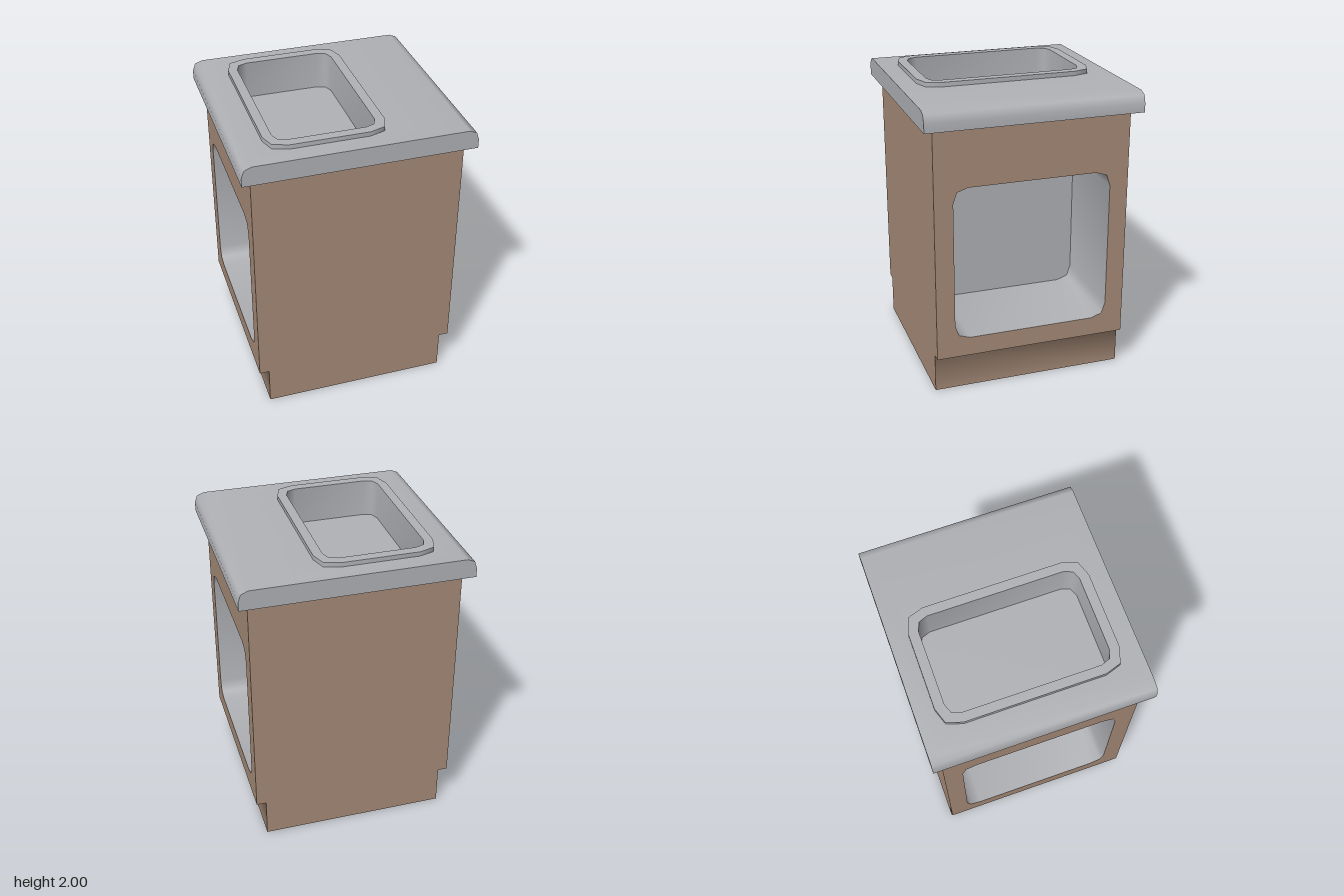
import * as THREE from 'three';
import { mergeGeometries, toCreasedNormals } from 'three/addons/utils/BufferGeometryUtils.js';

const V = (x, y) => new THREE.Vector2(x, y);

// Rectangle with two-step softened corners, counter-clockwise; r = corner reach, m = inset of the middle point
function softRect(x0, x1, y0, y1, r, m) {
  return [
    V(x0 + r, y0), V(x1 - r, y0), V(x1 - m, y0 + m), V(x1, y0 + r),
    V(x1, y1 - r), V(x1 - m, y1 - m), V(x1 - r, y1), V(x0 + r, y1),
    V(x0 + m, y1 - m), V(x0, y1 - r), V(x0, y0 + r), V(x0 + m, y0 + m),
  ];
}
const rect = (x0, x1, y0, y1) => [V(x0, y0), V(x1, y0), V(x1, y1), V(x0, y1)];

// Flat face in the xy plane at height z, facing +z
function face(points, z, hole) {
  const shape = new THREE.Shape(points);
  if (hole) shape.holes.push(new THREE.Path(hole));
  const g = new THREE.ShapeGeometry(shape).toNonIndexed();
  g.deleteAttribute('uv');
  return g.translate(0, 0, z);
}

// Strip swept along z from z0 to z1; counter-clockwise paths face outward
function wall(path, z0, z1, closed = true) {
  const pos = [];
  for (let i = 0; i < path.length - (closed ? 0 : 1); i++) {
    const a = path[i], b = path[(i + 1) % path.length];
    pos.push(a.x, a.y, z0, b.x, b.y, z0, b.x, b.y, z1, a.x, a.y, z0, b.x, b.y, z1, a.x, a.y, z1);
  }
  const g = new THREE.BufferGeometry();
  g.setAttribute('position', new THREE.Float32BufferAttribute(pos, 3));
  g.computeVertexNormals();
  return g;
}
const inward = (loop) => [...loop].reverse();
const upright = (g) => g.rotateX(-Math.PI / 2); // z becomes y
// Both the part and its half-turn copy
const pair = (g) => [g, g.clone().rotateY(Math.PI)];

export function createModel() {
  const model = new THREE.Group();
  const wood = new THREE.MeshStandardMaterial({ color: 0xa58a77 });
  wood.name = 'brown cabinet';
  const grey = new THREE.MeshStandardMaterial({ color: 0xb0b1b5 });
  grey.name = 'light grey';

  const add = (name, parts, material, crease = 1.0) => {
    const mesh = new THREE.Mesh(toCreasedNormals(mergeGeometries(parts), crease), material);
    mesh.name = name;
    model.add(mesh);
  };

  const W = 0.69, D = 0.655, TOE = 0.625, KICK = 0.265, TOP = 1.84;
  const opening = softRect(-0.53, 0.53, 0.395, 1.445, 0.1, 0.025);

  // Cabinet front and back, stepped in at the foot
  const outline = [V(-TOE, 0), V(TOE, 0), V(TOE, KICK), V(W, KICK), V(W, TOP), V(-W, TOP), V(-W, KICK), V(-TOE, KICK)];
  add('cabinetFrontAndBack', pair(face(outline, D)), wood);

  // Cabinet sides with the cupboard openings
  add('cabinetSides', pair(face(rect(-D, D, KICK, TOP), W, opening).rotateY(Math.PI / 2)), wood);

  // Recessed foot on both sides, softly shaded into its overhang
  add('toeKicks', pair(wall([V(TOE, 0), V(TOE, KICK), V(W, KICK)], -D, D, false)), wood, 1.7);
  add('cabinetBottom', [face(rect(-TOE, TOE, -D, D), 0).rotateX(Math.PI / 2)], wood);

  // Cupboard compartments, one on each side
  const backWall = 0.06;
  add('compartmentLinings', pair(wall(inward(opening), backWall, W).rotateY(Math.PI / 2)), grey);
  add('compartmentBacks', pair(face(opening, backWall).rotateY(Math.PI / 2)), grey);

  // Sink loops
  const rimOuter = softRect(-0.56, 0.225, -0.593, 0.593, 0.137, 0.034);
  const rimInner = softRect(-0.498, 0.162, -0.528, 0.528, 0.08, 0.022);
  const SLAB = 1.97, FLOOR = 1.74, CX = 0.755, CZ = 0.72;

  // Worktop with rounded left and right edges
  const edge = [V(CX, TOP), V(CX, 1.9), V(0.738, 1.95), V(0.69, SLAB)];
  const endShape = [...edge, ...inward(edge).map((p) => V(-p.x, p.y))];
  add('worktop', [
    upright(face(rect(-0.69, 0.69, -CZ, CZ), SLAB, rimInner)),
    ...pair(wall(edge, -CZ, CZ, false)),
    ...pair(face(endShape, CZ)),
  ], grey);
  const underside = face(rect(-CX, CX, -CZ, CZ), -TOP, rimInner.map((p) => V(p.x, -p.y)));
  add('worktopUnderside', [underside.rotateX(Math.PI / 2)], grey);

  // Raised sink rim and basin
  add('sinkRim', [
    upright(wall(rimOuter, SLAB, 2)),
    upright(face(rimOuter, 2, rimInner)),
  ], grey);
  add('sinkBasin', [
    upright(wall(inward(rimInner), FLOOR, 2)),
    upright(face(rimInner, FLOOR)),
  ], grey);

  return model;
}
